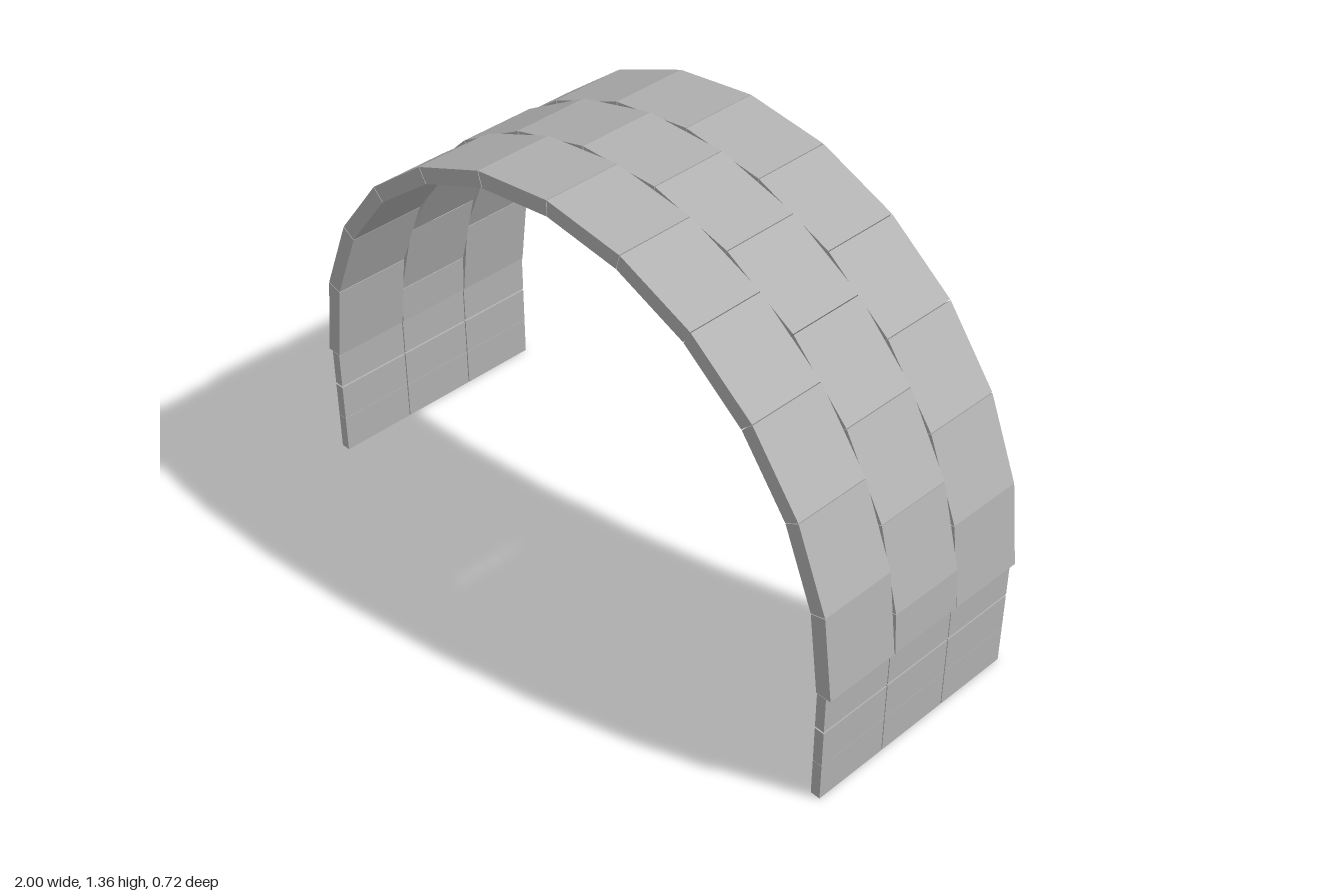
import * as THREE from 'three';

const CENTRE_Y = 0.36, OUTER = 1.0, INNER = 0.952;
const STEP = Math.PI / 12; // angle covered by one full brick
const GAP = 0.0012;        // half the angular joint between bricks
const ROWS = [
  { name: 'frontRow', z: 0.24, depth: 0.238, staggered: false },
  { name: 'middleRow', z: 0, depth: 0.236, staggered: true },
  { name: 'backRow', z: -0.24, depth: 0.238, staggered: false },
];

// Wedge-shaped brick with flat faces, spanning angles a0 to a1 of the arch
function wedgeBrick(a0, a1, depth, material) {
  const point = (r, a) => new THREE.Vector2(r * Math.cos(a), CENTRE_Y + r * Math.sin(a));
  const shape = new THREE.Shape([
    point(INNER, a0 + GAP), point(OUTER, a0 + GAP),
    point(OUTER, a1 - GAP), point(INNER, a1 - GAP),
  ]);
  const geometry = new THREE.ExtrudeGeometry(shape, { depth, bevelEnabled: false });
  geometry.translate(0, 0, -depth / 2);
  const mesh = new THREE.Mesh(geometry, material);
  mesh.name = 'archBrick';
  return mesh;
}

export function createModel() {
  const model = new THREE.Group();
  model.name = 'brickArch';
  const stone = new THREE.MeshStandardMaterial({ color: 0xb3b3b3 });
  stone.name = 'stoneGrey';

  for (const { name, z, depth, staggered } of ROWS) {
    const row = new THREE.Group();
    row.name = name;
    row.position.z = z;

    // Arch bricks; the staggered row starts and ends with a half brick
    const joints = [0];
    for (let a = staggered ? STEP / 2 : STEP; a < Math.PI - 0.01; a += STEP) joints.push(a);
    joints.push(Math.PI);
    for (let i = 0; i + 1 < joints.length; i++) {
      row.add(wedgeBrick(joints[i], joints[i + 1], depth, stone));
    }

    // Three courses of thin upright bricks under each foot of the arch
    for (const side of [-1, 1]) {
      for (const [y0, y1] of [[0, 0.1195], [0.1205, 0.237], [0.243, 0.36]]) {
        const brick = new THREE.Mesh(new THREE.BoxGeometry(0.03, y1 - y0, depth), stone);
        brick.name = side > 0 ? 'leftWallBrick' : 'rightWallBrick';
        brick.position.set(side * 0.97, (y0 + y1) / 2, 0);
        row.add(brick);
      }
    }
    model.add(row);
  }
  return model;
}
